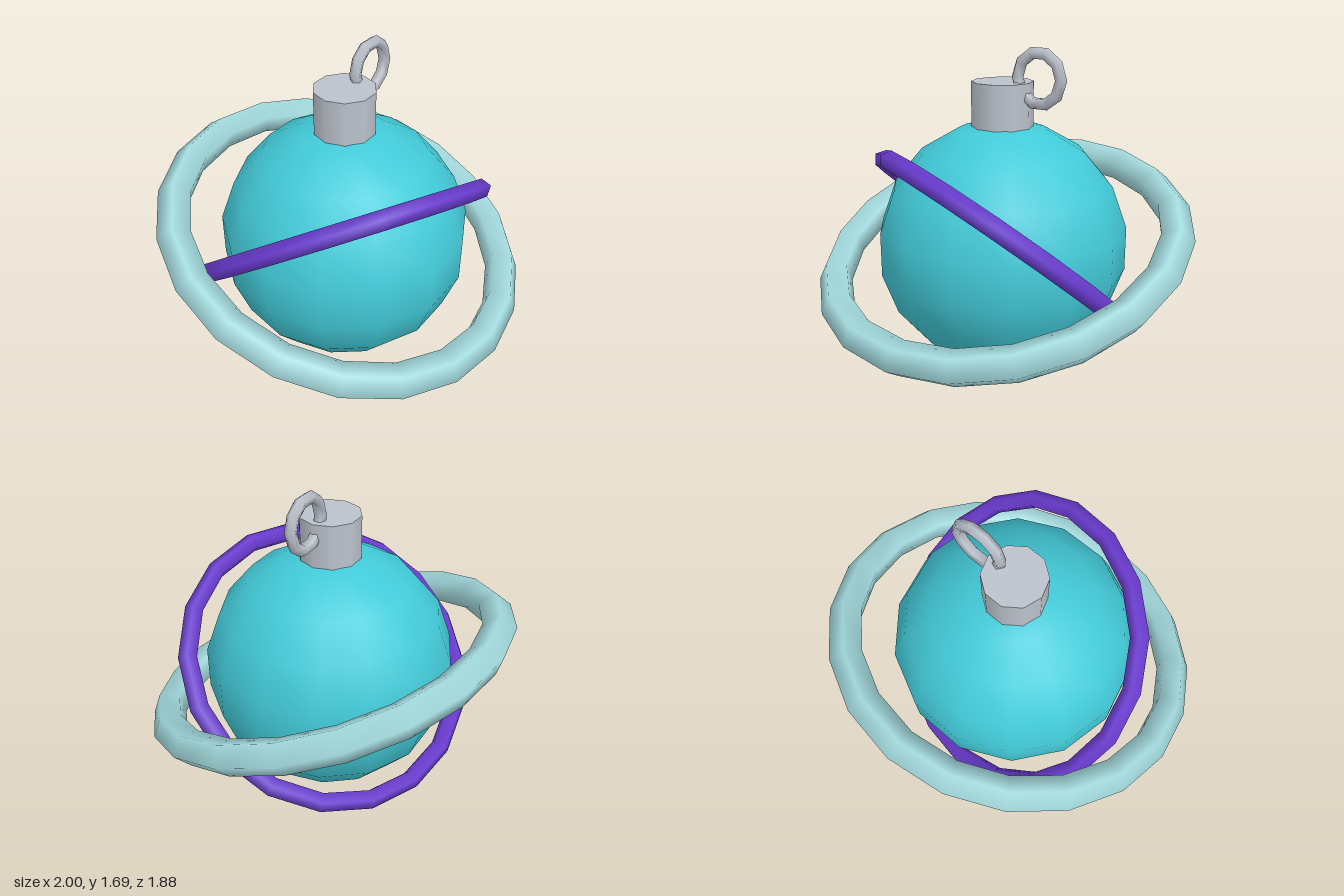
import * as THREE from 'three';

const mat = (name, color) => {
  const m = new THREE.MeshStandardMaterial({ color });
  m.name = name;
  return m;
};

export function createModel() {
  const teal = mat('teal', 0x42cad8);
  const paleAqua = mat('pale aqua', 0xa3dade);
  const violet = mat('violet', 0x6a3bd0);
  const silver = mat('silver', 0xbcc2cc);

  const model = new THREE.Group();
  model.name = 'ringedOrnament';

  const add = (name, geometry, material, position, rotation = [0, 0, 0]) => {
    const mesh = new THREE.Mesh(geometry, material);
    mesh.name = name;
    mesh.position.set(...position);
    mesh.rotation.set(...rotation);
    model.add(mesh);
  };
  // Every ring has a five-sided tube
  const ring = (radius, tube, segments) => new THREE.TorusGeometry(radius, tube, 5, segments);

  const R = 0.655;
  const centre = [0, R, 0];

  // Bauble
  add('bauble', new THREE.SphereGeometry(R, 14, 9), teal, centre);

  // Two tilted rings around the bauble
  add('outerRing', ring(0.91, 0.09, 20), paleAqua, centre, [Math.PI / 2 + 0.35, 0, 0]);
  add('innerRing', ring(0.765, 0.05, 18), violet, centre, [Math.PI / 2 - 0.65, -0.3, 0]);

  // Cap and hanging loop
  add('cap', new THREE.CylinderGeometry(0.157, 0.157, 0.24, 10), silver, [0, 1.39, 0], [0, Math.PI / 2, 0]);
  add('hangingLoop', ring(0.126, 0.031, 10), silver, [0.213, 1.537, 0]);

  return model;
}
